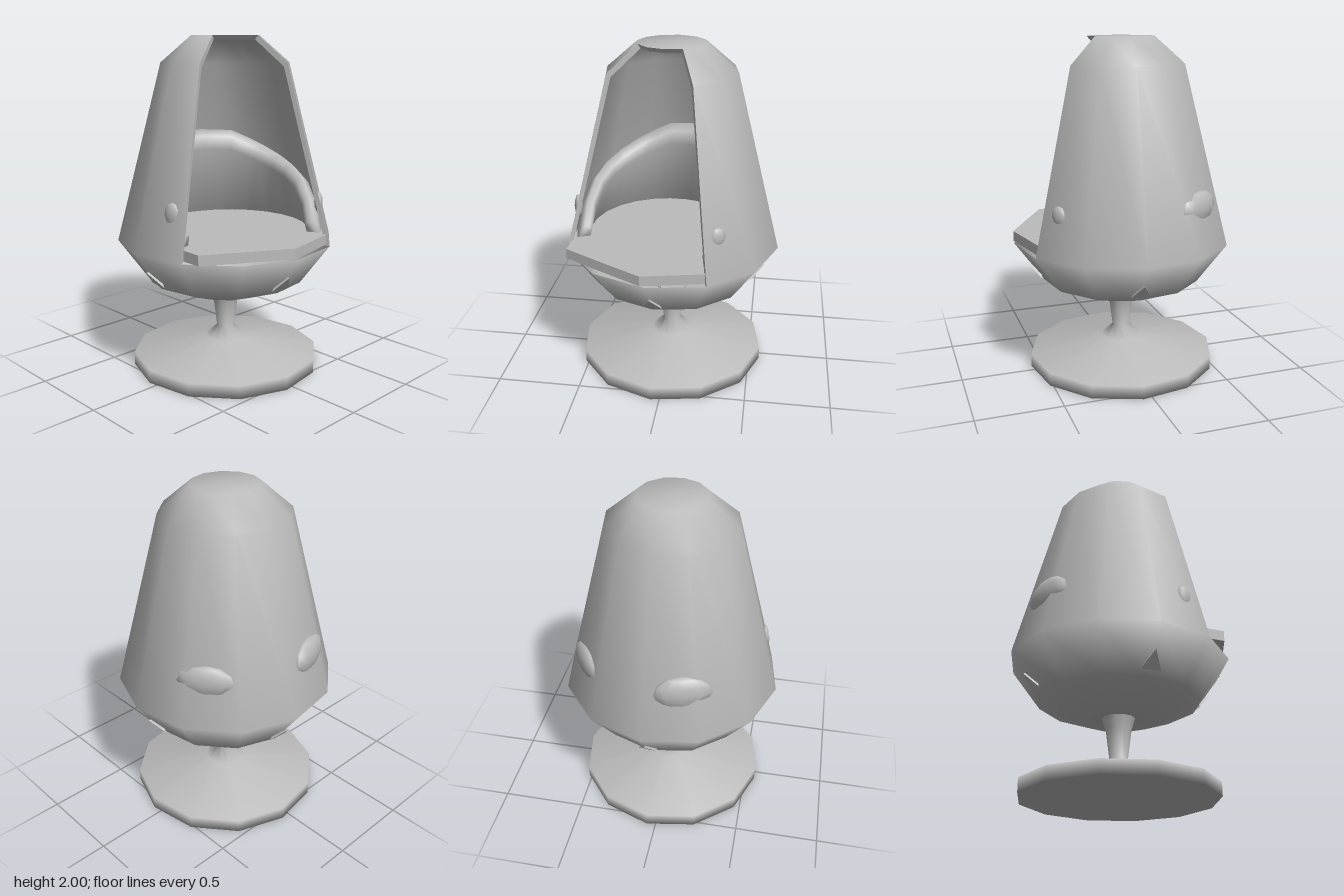
import * as THREE from 'three';

const rad = THREE.MathUtils.degToRad;
const SIDES = 12;
const OPEN = 3;            // open segments of the shell
const START = rad(24.6);   // lathe angle of the first opening edge
const v2 = (p) => p.map(([x, y]) => new THREE.Vector2(x, y));

// lathe with the opening cut out of the rows from..to
function podLathe(profile, from, to) {
  const geo = new THREE.LatheGeometry(v2(profile), SIDES, START);
  const rows = profile.length - 1, old = geo.index.array, keep = [];
  for (let s = 0; s < SIDES; s++) {
    for (let r = 0; r < rows; r++) {
      if (s < OPEN && r >= from && r < to) continue;
      const k = (s * rows + r) * 6;
      keep.push(...old.slice(k, k + 6));
    }
  }
  geo.setIndex(keep);
  return geo;
}

// height of the back cushion by degrees away from its middle
function cushionHeight(deg) {
  const keys = [[0, 1.41], [30, 1.4], [100, 1.17], [134, 0.92]];
  const a = Math.abs(deg);
  for (let i = 1; i < keys.length; i++) {
    const [d0, h0] = keys[i - 1], [d1, h1] = keys[i];
    if (a <= d1) return h0 + (h1 - h0) * (a - d0) / (d1 - d0);
  }
  return 0.92;
}

// wrap-around cushion built from cross-sections
function backCushionGeometry() {
  const pos = [], idx = [], steps = 18, n = 6;
  for (let i = 0; i <= steps; i++) {
    const deg = -132 + 264 * i / steps;
    const a = rad(200 + deg), h = cushionHeight(deg);
    const ro = (y) => 0.6 - (y - 0.8) * 0.258;
    const t = 0.15 - 0.07 * Math.abs(deg) / 132;
    const d = (h - 0.82) * 0.2;
    const section = [
      [ro(0.82), 0.82], [ro(h - d / 2), h - d / 2], [ro(h) - 0.03, h],
      [ro(h) - t * 0.7, h - d * 0.3], [ro(h - d) - t, h - d], [ro(0.82) - t, 0.82],
    ];
    for (const [r, y] of section) pos.push(r * Math.cos(a), y, r * Math.sin(a));
  }
  for (let i = 0; i < steps; i++) {
    for (let j = 0; j < n; j++) {
      const a = i * n + j, b = i * n + (j + 1) % n;
      idx.push(a, b, a + n, b, b + n, a + n);
    }
  }
  for (let j = 1; j < n - 1; j++) {
    const e = steps * n;
    idx.push(0, j + 1, j, e, e + j, e + j + 1);
  }
  const geo = new THREE.BufferGeometry();
  geo.setAttribute('position', new THREE.Float32BufferAttribute(pos, 3));
  geo.setIndex(idx);
  geo.computeVertexNormals();
  return geo;
}

export function createModel() {
  const group = new THREE.Group();
  const grey = new THREE.MeshStandardMaterial({ color: 0xbbbbbb, side: THREE.DoubleSide });
  grey.name = 'plain grey';
  const add = (name, geo) => {
    const mesh = new THREE.Mesh(geo, grey);
    mesh.name = name;
    group.add(mesh);
    return mesh;
  };

  // round foot and waisted stem
  add('pedestal', new THREE.LatheGeometry(v2([
    [0, 0], [0.57, 0], [0.57, 0.08], [0.125, 0.165], [0.053, 0.23], [0.075, 0.4], [0.1, 0.48],
  ]), SIDES, START));

  // egg shell, outside and inside
  const outer = [[0.65, 0.8], [0.38, 1.845], [0.2, 2]];
  const inner = [[0.18, 1.975], [0.355, 1.825], [0.625, 0.8]];
  add('outerShell', podLathe([[0, 0.47], [0.245, 0.47], [0.475, 0.56], ...outer, [0, 2]], 3, 5));
  add('innerShell', podLathe([[0, 1.975], ...inner], 1, 3));

  // edges of the opening
  for (const deg of [65.4, -24.6]) {
    const edge = add('openingEdge', new THREE.ShapeGeometry(new THREE.Shape(v2([...outer, ...inner]))));
    edge.rotation.y = -rad(deg);
  }
  add('openingTopEdge', new THREE.LatheGeometry(v2([[0.18, 1.975], [0.2, 2]]), OPEN, START, Math.PI / 2));

  // seat pad with its lip over the front of the bowl
  const seatOutline = [[0.57, -0.26], [0.645, 0.09], [0.53, 0.3], [0.38, 0.565], [0.265, 0.56]];
  for (let deg = 95.4; deg < 330; deg += 30) {
    seatOutline.push([0.58 * Math.cos(rad(deg)), 0.58 * Math.sin(rad(deg))]);
  }
  const seat = new THREE.ExtrudeGeometry(new THREE.Shape(v2(seatOutline)), { depth: 0.06, bevelEnabled: false });
  seat.rotateX(Math.PI / 2).translate(0, 0.867, 0);
  add('seatCushion', seat);
  add('backCushion', backCushionGeometry());

  // soft bulges in the shell wall: angle, radius, y, then radial, upright and sideways size
  for (const [deg, r, y, a, b, c] of [
    [163, 0.535, 1.08, 0.055, 0.11, 0.17], [235, 0.535, 1.06, 0.055, 0.1, 0.17],
    [75, 0.56, 1.04, 0.025, 0.07, 0.05], [-34, 0.56, 1.04, 0.025, 0.06, 0.05],
  ]) {
    const bulge = add('shellBulge', new THREE.SphereGeometry(1, 10, 6));
    bulge.scale.set(a, b, c);
    bulge.rotation.y = -rad(deg);
    bulge.position.set(r * Math.cos(rad(deg)), y, r * Math.sin(rad(deg)));
  }

  // four small points under the bowl
  for (let k = 0; k < 4; k++) {
    const geo = new THREE.BufferGeometry();
    geo.setAttribute('position', new THREE.Float32BufferAttribute([
      0.495, 0.585, 0.06, 0.495, 0.585, -0.06, 0.575, 0.675, 0,
      0.495, 0.585, -0.06, 0.5, 0.69, 0, 0.575, 0.675, 0,
      0.5, 0.69, 0, 0.495, 0.585, 0.06, 0.575, 0.675, 0,
    ], 3));
    geo.computeVertexNormals();
    add('bowlPoint', geo).rotation.y = -rad(5.4 + 90 * k);
  }
  return group;
}
